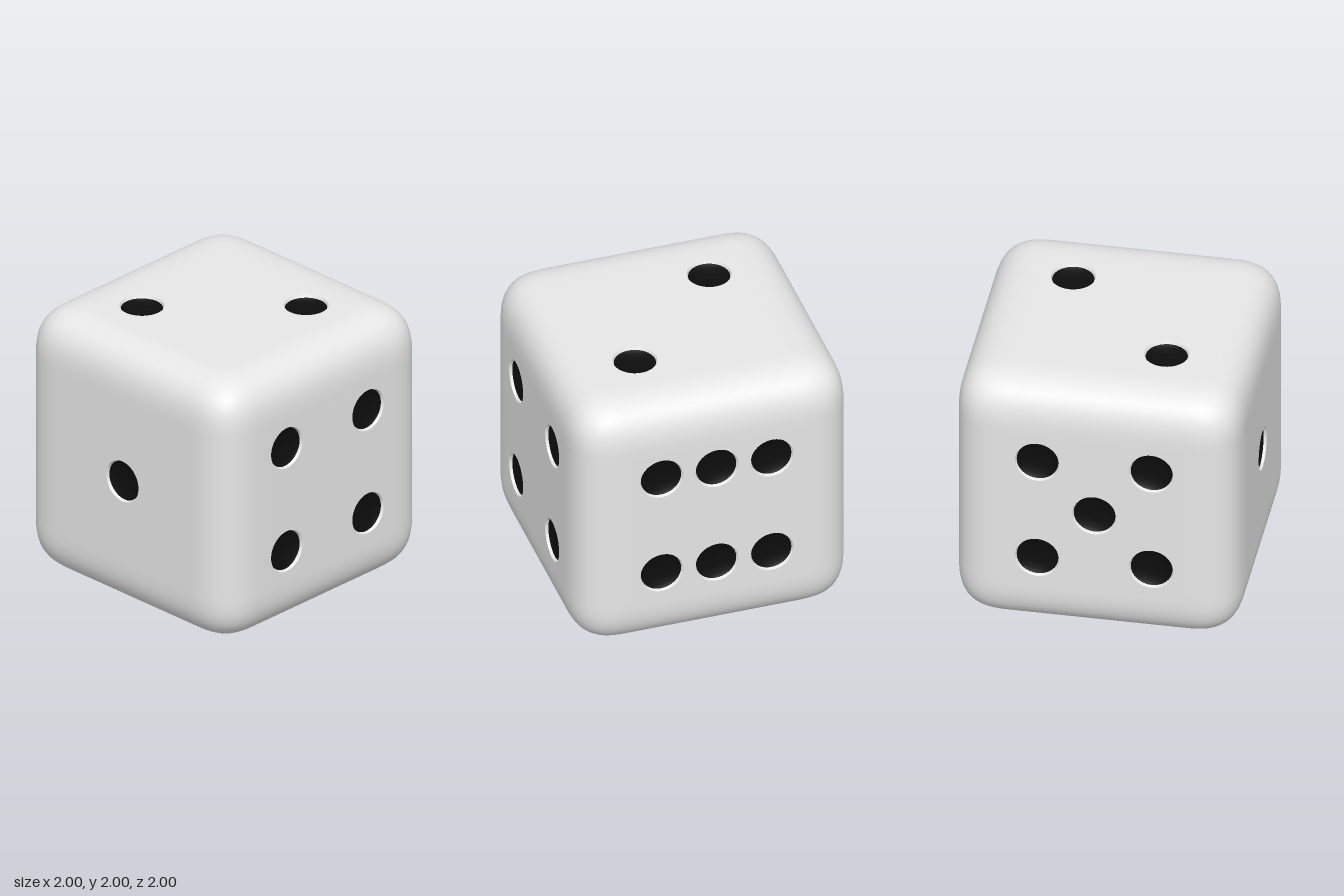
import * as THREE from 'three';

const FLAT = 0.6;    // half size of the flat part of each side
const ROUND = 0.4;   // reach of the rounded edges
const POWER = 3;     // softness of the rounding
const BORDER = 8;    // segments across each rounded border
const PIP = 0.155;   // rim radius of a pip

// Rounded edges and corners; the flat middles are left open for the drilled panels
function roundedShell() {
  const n = 2 * BORDER + 1;
  const geo = new THREE.BoxGeometry(2, 2, 2, n, n, n);
  const pos = geo.attributes.position, nor = geo.attributes.normal;
  const flat = [];
  for (let i = 0; i < pos.count; i++) {
    const e = pos.getComponent.length && [0, 1, 2].map((k) => {
      const c = pos.getComponent(i, k);
      const index = Math.round(((c + 1) / 2) * n);
      const t = Math.max(BORDER - index, index - BORDER - 1) / BORDER;
      return Math.sign(c) * Math.tan((t * Math.PI) / 4);
    });
    const side = [0, 1, 2].map((k) => Math.sign(pos.getComponent(i, k)));
    flat.push(e.filter((v) => Math.abs(v) > 1e-6).length === 1);
    const len = Math.pow(e.reduce((s, v) => s + Math.abs(v) ** POWER, 0), 1 / POWER);
    const p = e.map((v, k) => side[k] * FLAT + (ROUND * v) / len);
    const g = new THREE.Vector3(...e.map((v) => Math.sign(v) * Math.abs(v) ** (POWER - 1))).normalize();
    pos.setXYZ(i, p[0], p[1], p[2]);
    nor.setXYZ(i, g.x, g.y, g.z);
  }
  const kept = [];
  const index = geo.index.array;
  for (let i = 0; i < index.length; i += 3) {
    const tri = [index[i], index[i + 1], index[i + 2]];
    if (!tri.every((v) => flat[v])) kept.push(...tri);
  }
  geo.setIndex(kept);
  geo.clearGroups();
  return geo;
}

// Flat middle of a side with a round hole for every pip
function drilledPanel(spots) {
  const shape = new THREE.Shape();
  shape.moveTo(-FLAT, -FLAT).lineTo(FLAT, -FLAT).lineTo(FLAT, FLAT).lineTo(-FLAT, FLAT).closePath();
  for (const [x, y] of spots) {
    shape.holes.push(new THREE.Path().absarc(x, y, PIP, 0, Math.PI * 2, true));
  }
  return new THREE.ShapeGeometry(shape, 32);
}

// Turned surface facing out along +z
function turned(points) {
  return new THREE.LatheGeometry(points.map(([r, z]) => new THREE.Vector2(r, z)), 32).rotateX(Math.PI / 2);
}

export function createModel() {
  const white = new THREE.MeshStandardMaterial({ color: 0xe7e7e7 });
  white.name = 'white';
  const black = new THREE.MeshStandardMaterial({ color: 0x0d0d0d });
  black.name = 'black';

  const model = new THREE.Group();
  model.name = 'die';
  const add = (parent, name, geo, mat) => {
    const mesh = new THREE.Mesh(geo, mat);
    mesh.name = name;
    parent.add(mesh);
    return mesh;
  };

  const body = new THREE.Group();
  body.name = 'body';
  body.position.y = 1;
  model.add(body);
  add(body, 'roundedEdges', roundedShell(), white);

  // Pip layouts
  const a = 0.4;
  const centre = [[0, 0]];
  const diagonal = [[a, a], [-a, -a]];
  const corners = [...diagonal, [a, -a], [-a, a]];
  const sides = [
    ['front', 0, 0, centre],
    ['top', -Math.PI / 2, 0, diagonal],
    ['bottom', Math.PI / 2, 0, [...diagonal, ...centre]],
    ['left', 0, Math.PI / 2, corners],
    ['right', 0, -Math.PI / 2, [...corners, ...centre]],
    ['back', 0, Math.PI, [...corners, [0, a], [0, -a]]],
  ];

  // Recessed pips: a pale sloping rim around a shallow black bowl
  const rimGeo = turned([[PIP, 0], [0.146, -0.02]]);
  const bowlGeo = turned([[0.146, -0.02], [0.12, -0.034], [0.07, -0.045], [0, -0.05]]);
  for (const [name, rx, ry, spots] of sides) {
    const side = new THREE.Group();
    side.name = name + 'Side';
    side.rotation.set(rx, ry, 0);
    body.add(side);
    add(side, name + 'Panel', drilledPanel(spots), white).position.z = 1;
    for (const [x, y] of spots) {
      add(side, 'pipRim', rimGeo, white).position.set(x, y, 1);
      add(side, 'pip', bowlGeo, black).position.set(x, y, 1);
    }
  }
  return model;
}
